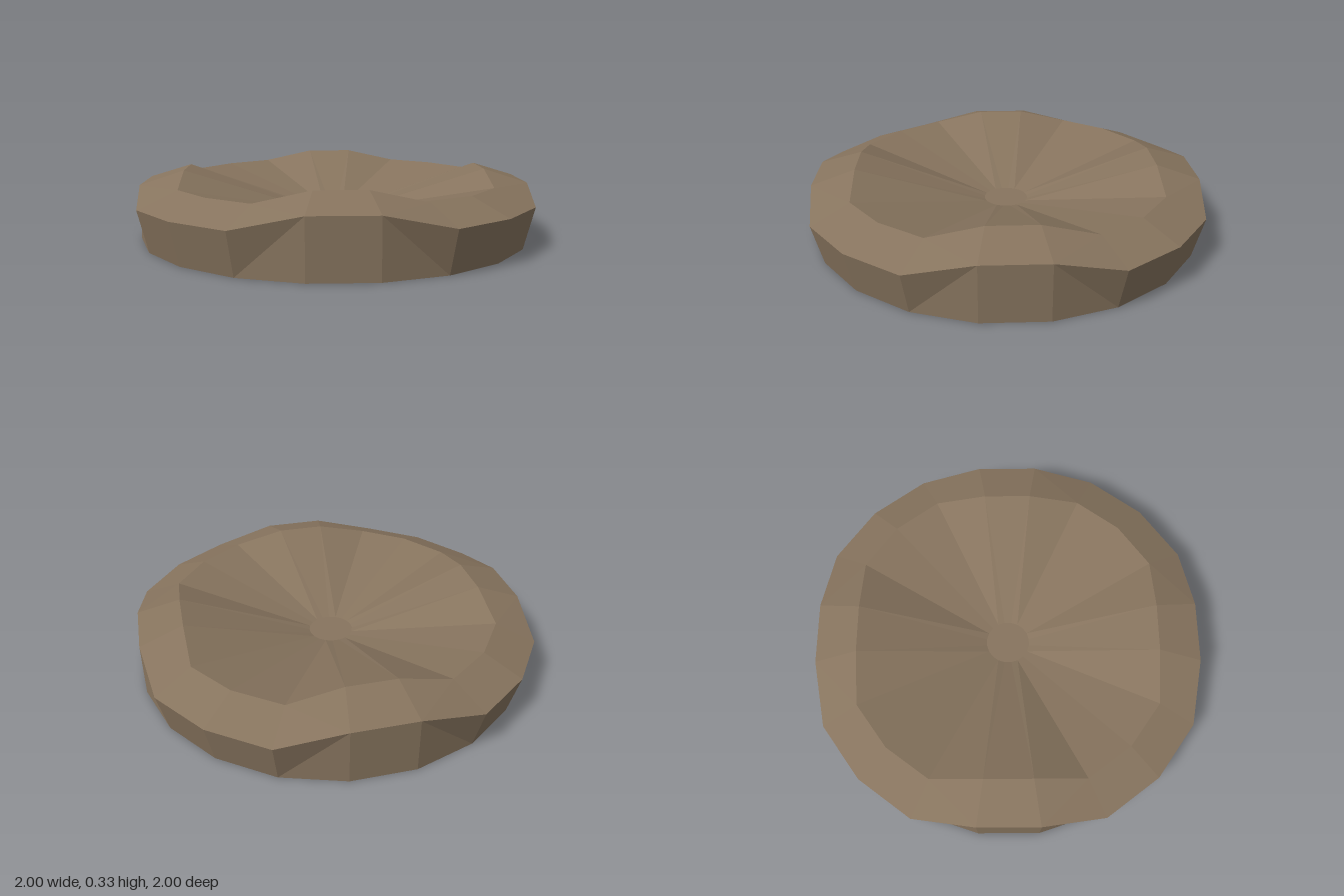
import * as THREE from 'three';

const SIDES = 20;

// Each ring gives [radius, height] at the four dips and at the four raised corners.
const RINGS = {
  base: { dip: [0.95, 0], crest: [0.95, 0] },
  edge: { dip: [1.0, 0.2], crest: [0.95, 0.265] },
  rim: { dip: [0.81, 0.275], crest: [0.74, 0.33] },
  hub: { dip: [0.108, 0.12], crest: [0.108, 0.12] },
};

// Two of every five sides belong to a raised corner.
const isCrest = (i) => i % 5 === 2 || i % 5 === 3;

function ringPoint(ring, i) {
  const k = i % SIDES;
  const [r, y] = isCrest(k) ? ring.crest : ring.dip;
  const a = (k / SIDES) * Math.PI * 2;
  return [Math.cos(a) * r, y, -Math.sin(a) * r];
}

function toMesh(name, points, material) {
  const geometry = new THREE.BufferGeometry();
  geometry.setAttribute('position', new THREE.Float32BufferAttribute(points.flat(), 3));
  geometry.computeVertexNormals();
  const mesh = new THREE.Mesh(geometry, material);
  mesh.name = name;
  return mesh;
}

// Band of faceted quads; diagonals run from the outer dips to the inner crests.
function band(name, first, second, material) {
  const points = [];
  for (let i = 0; i < SIDES; i++) {
    const a = ringPoint(first, i), b = ringPoint(first, i + 1);
    const c = ringPoint(second, i + 1), d = ringPoint(second, i);
    const rising = !isCrest(i) && isCrest(i + 1);
    const useBD = first === RINGS.base ? !rising : rising;
    if (useBD) points.push(a, b, d, b, c, d);
    else points.push(a, b, c, a, c, d);
  }
  return toMesh(name, points, material);
}

// Flat fan closing a ring
function cap(name, ring, y, up, material) {
  const points = [];
  for (let i = 0; i < SIDES; i++) {
    const a = ringPoint(ring, i), b = ringPoint(ring, i + 1);
    points.push([0, y, 0], up ? a : b, up ? b : a);
  }
  return toMesh(name, points, material);
}

export function createModel() {
  const brown = new THREE.MeshStandardMaterial({ color: 0x87745e, flatShading: true });
  brown.name = 'earth brown';

  const group = new THREE.Group();
  group.name = 'hollowMound';
  group.add(
    cap('underside', RINGS.base, 0, false, brown),
    band('sideWall', RINGS.base, RINGS.edge, brown),
    band('raisedRim', RINGS.edge, RINGS.rim, brown),
    band('bowl', RINGS.rim, RINGS.hub, brown),
    cap('bowlFloor', RINGS.hub, 0.12, true, brown),
  );
  return group;
}
